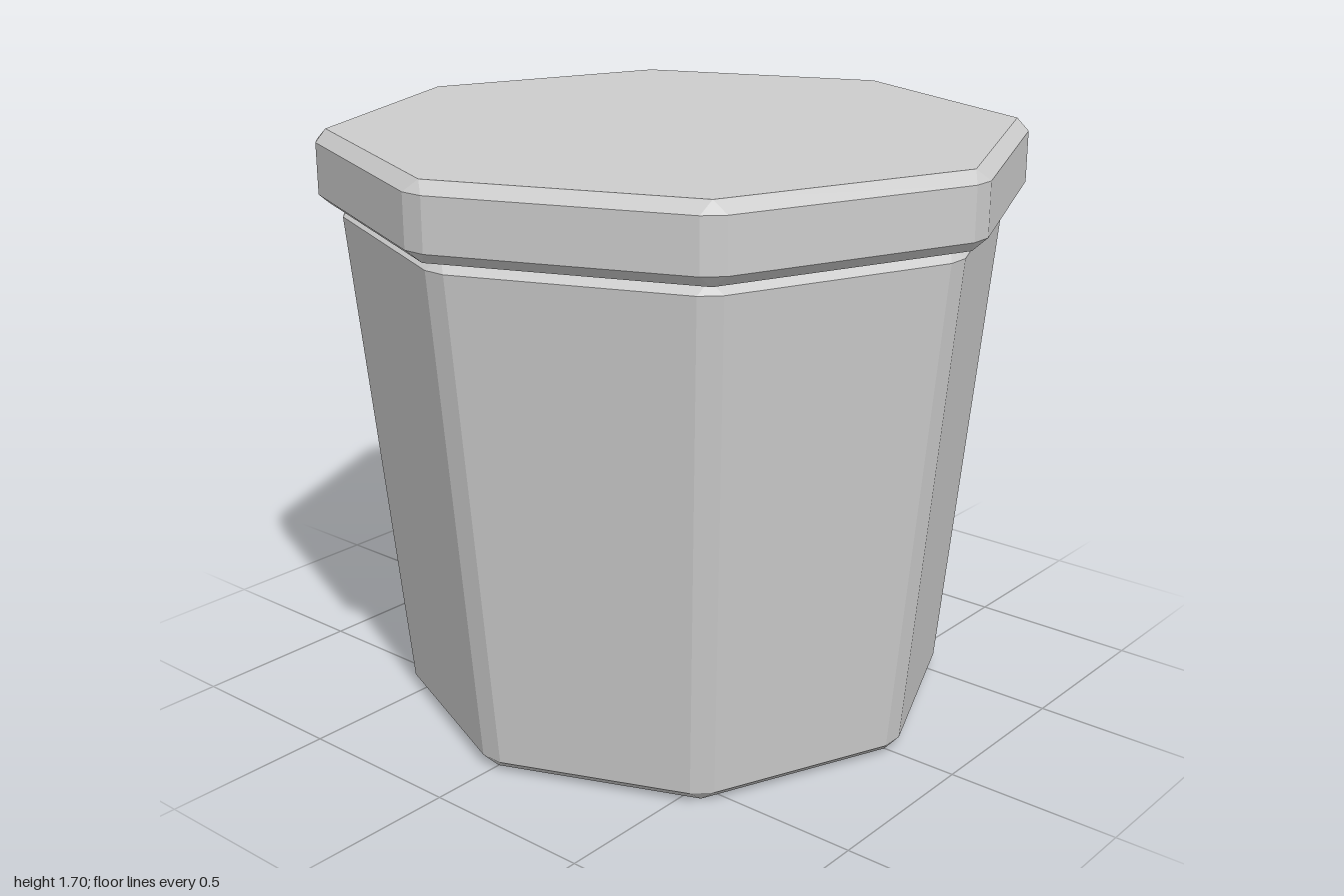
import * as THREE from 'three';
import { ConvexGeometry } from 'three/addons/geometries/ConvexGeometry.js';

const SIDES = 8;

// One octagonal ring at height y; each corner is cut to a strip of half-width cut.
function ring(y, radius, cut = 0) {
  const points = [];
  for (let i = 0; i < SIDES; i++) {
    const a = (i / SIDES) * Math.PI * 2;
    for (const s of cut ? [-cut, cut] : [0]) {
      points.push(new THREE.Vector3(
        radius * Math.cos(a) - s * Math.sin(a), y,
        radius * Math.sin(a) + s * Math.cos(a)));
    }
  }
  return points;
}

// Octagonal block with bevelled rims and bevelled upright edges.
function bevelledOctagon(name, y0, y1, r0, r1, material) {
  const bevel = 0.032, inset = 0.026, cut = 0.033;
  const mesh = new THREE.Mesh(new ConvexGeometry([
    ...ring(y0, r0 - inset),
    ...ring(y0 + bevel, r0, cut),
    ...ring(y1 - bevel, r1, cut),
    ...ring(y1, r1 - inset),
  ]), material);
  mesh.name = name;
  return mesh;
}

export function createModel() {
  const group = new THREE.Group();
  group.name = 'liddedPot';
  const grey = new THREE.MeshStandardMaterial({ color: 0xcccccc });
  grey.name = 'plain grey';

  // Tapered pot and the wider lid resting on it
  group.add(bevelledOctagon('pot', 0, 1.49, 0.8, 0.937, grey));
  group.add(bevelledOctagon('lid', 1.49, 1.7, 1, 1, grey));
  return group;
}
